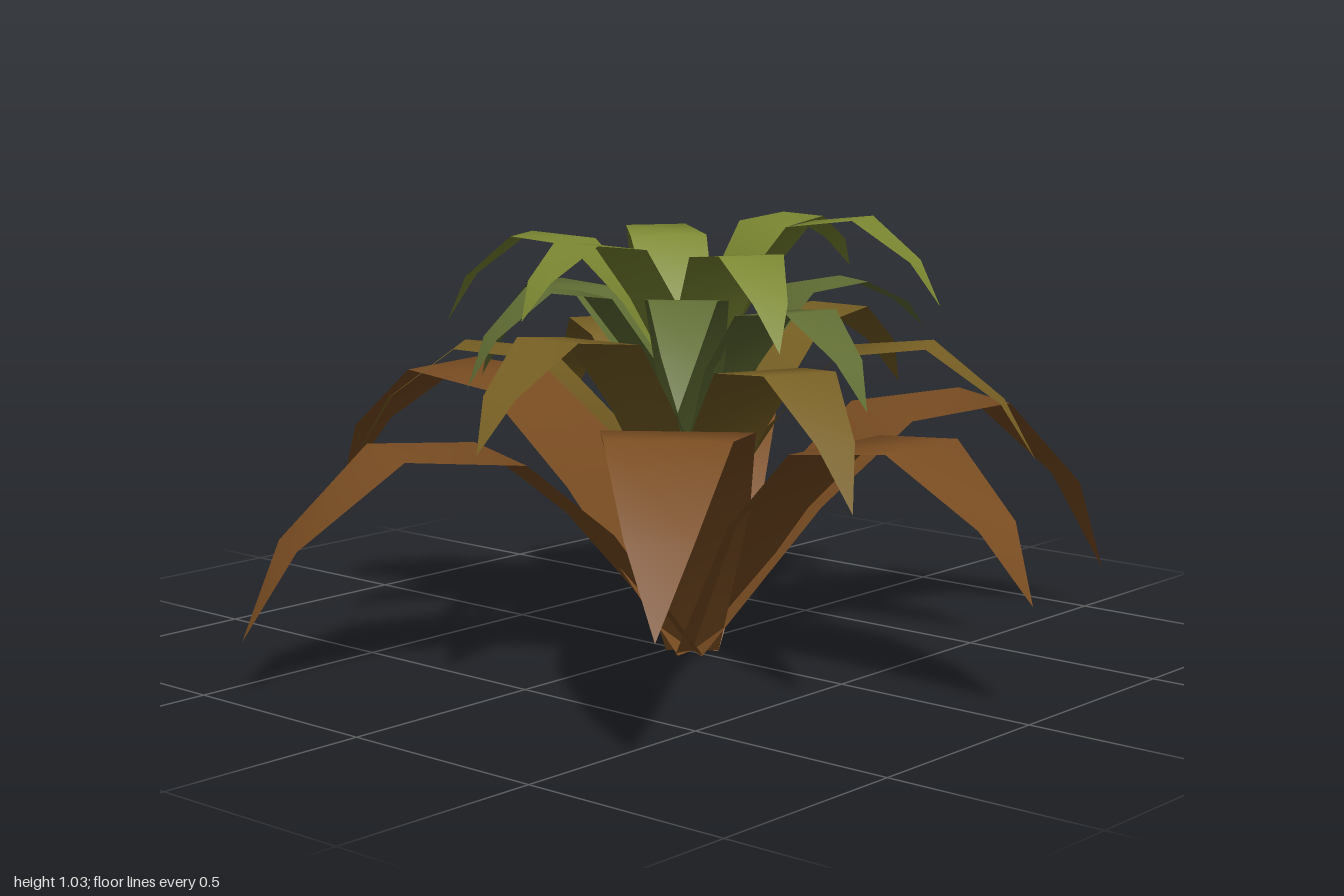
import * as THREE from 'three';

const CENTRE = { x: 0.05, z: -0.01 };

// Lengthwise stations: share of the reach, and share of the full width
const REACH = [0, 0.24, 0.44, 0.69, 0.9, 1];
const WIDTH = [0.37, 0.87, 1, 0.8, 0.42, 0];

function mat(name, color) {
  const m = new THREE.MeshStandardMaterial({ color, side: THREE.DoubleSide });
  m.name = name;
  return m;
}

// Arched strip from the crown out to a drooping pointed tip; tilt slopes it sideways
function leafGeometry([tipX, tipZ, peak, tipY, tilt = 0], baseY, width) {
  const dx = tipX - CENTRE.x, dz = tipZ - CENTRE.z;
  const len = Math.hypot(dx, dz);
  const rise = peak - baseY;
  const heights = [
    baseY, baseY + rise * 0.62, baseY + rise * 0.96,
    peak, tipY + (peak - tipY) * 0.52, tipY,
  ];
  const positions = [], index = [];
  REACH.forEach((r, i) => {
    const half = width * WIDTH[i] / 2;
    for (const w of half ? [-half, half] : [0]) {
      positions.push(
        CENTRE.x + dx * r - (dz / len) * w,
        heights[i] + (i ? tilt * w : 0),
        CENTRE.z + dz * r + (dx / len) * w
      );
    }
    const a = i * 2;
    if (i < REACH.length - 1) index.push(a, a + 1, a + 2);
    if (i < REACH.length - 2) index.push(a + 1, a + 3, a + 2);
  });
  const g = new THREE.BufferGeometry();
  g.setAttribute('position', new THREE.Float32BufferAttribute(positions, 3));
  g.setIndex(index);
  g.computeVertexNormals();
  return g;
}

export function createModel() {
  const plant = new THREE.Group();
  plant.name = 'rosettePlant';

  // Each leaf: tip x, tip z, height of the arch, height of the tip, optional tilt
  const tiers = [
    {
      name: 'witheredLeaf', material: mat('withered brown', 0x7a4d22), baseY: 0, width: 0.335,
      leaves: [
        [0.99, -0.02, 0.56, 0.25], [0.68, 0.83, 0.625, 0.28], [-0.4, 0.97, 0.525, 0.13],
        [-1, 0.14, 0.625, 0.28], [-0.62, -0.93, 0.545, 0.18, -0.2], [0.56, -0.98, 0.565, 0.11],
      ],
    },
    {
      name: 'oldLeaf', material: mat('olive', 0x786024), baseY: 0.25, width: 0.215,
      leaves: [
        [0.74, -0.4, 0.74, 0.48], [0.77, 0.32, 0.73, 0.47], [0.1, 0.74, 0.79, 0.57],
        [-0.58, 0.46, 0.72, 0.46], [-0.67, -0.34, 0.73, 0.46], [0.05, -0.81, 0.77, 0.55],
      ],
    },
    {
      name: 'middleLeaf', material: mat('deep green', 0x616e34), baseY: 0.44, width: 0.185,
      leaves: [
        [0.63, 0.09, 0.84, 0.64], [0.45, 0.5, 0.88, 0.67], [-0.17, 0.5, 0.87, 0.66],
        [-0.53, 0.1, 0.85, 0.61], [-0.33, -0.48, 0.85, 0.66], [0.31, -0.55, 0.86, 0.74],
      ],
    },
    {
      name: 'youngLeaf', material: mat('fresh green', 0x7c8832), baseY: 0.6, width: 0.185,
      leaves: [
        [0.61, -0.2, 1.03, 0.84], [0.55, 0.29, 0.97, 0.78], [-0.01, 0.49, 0.98, 0.82],
        [-0.5, 0.24, 0.97, 0.76], [-0.39, -0.32, 0.97, 0.78], [0.15, -0.47, 1.01, 0.88],
      ],
    },
  ];

  for (const { name, material, baseY, width, leaves } of tiers) {
    leaves.forEach((leaf, i) => {
      const mesh = new THREE.Mesh(leafGeometry(leaf, baseY, width), material);
      mesh.name = name + (i + 1);
      plant.add(mesh);
    });
  }
  return plant;
}
